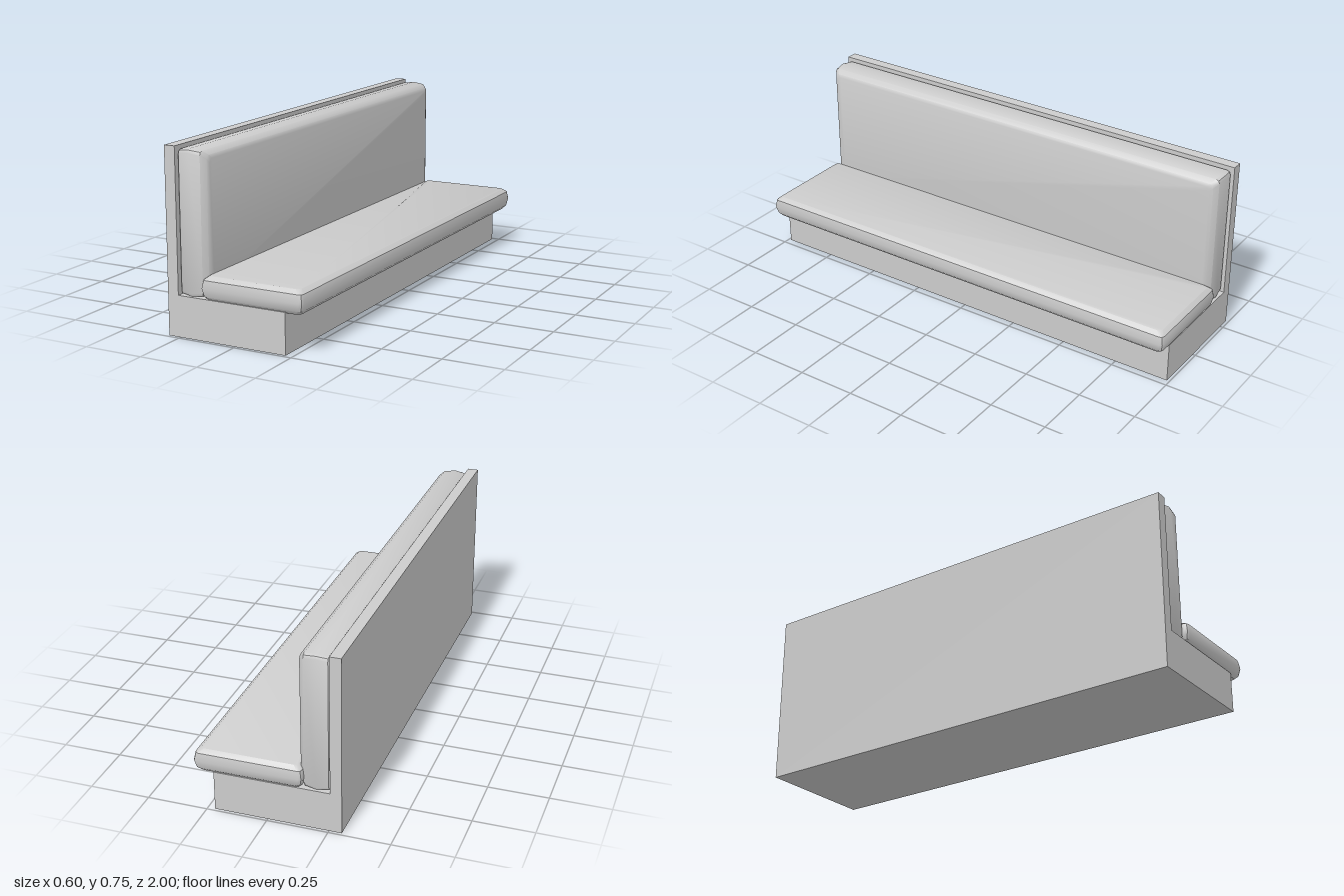
import * as THREE from 'three';
import { toCreasedNormals } from 'three/addons/utils/BufferGeometryUtils.js';

// Padded slab: rounded rectangular loops stacked along y; each layer is [height, inset]
function cushionGeometry(halfX, halfZ, layers, radius = 0.016, steps = 2) {
  const positions = [];
  const index = [];
  const count = 4 * (steps + 1);
  for (const [y, inset] of layers) {
    for (let corner = 0; corner < 4; corner++) {
      const sx = corner === 0 || corner === 3 ? 1 : -1;
      const sz = corner < 2 ? 1 : -1;
      for (let s = 0; s <= steps; s++) {
        const a = (corner + s / steps) * Math.PI / 2;
        positions.push(
          sx * (halfX - inset - radius) + Math.cos(a) * radius,
          y,
          sz * (halfZ - inset - radius) + Math.sin(a) * radius
        );
      }
    }
  }
  // Side walls
  for (let l = 0; l < layers.length - 1; l++) {
    for (let i = 0; i < count; i++) {
      const a = l * count + i;
      const b = l * count + (i + 1) % count;
      index.push(a, a + count, b, b, a + count, b + count);
    }
  }
  // Flat bottom and top
  const top = (layers.length - 1) * count;
  for (let i = 1; i < count - 1; i++) {
    index.push(0, i, i + 1, top, top + i + 1, top + i);
  }
  const geometry = new THREE.BufferGeometry();
  geometry.setAttribute('position', new THREE.Float32BufferAttribute(positions, 3));
  geometry.setIndex(index);
  return toCreasedNormals(geometry, 0.6);
}

export function createModel() {
  const group = new THREE.Group();
  const grey = new THREE.MeshStandardMaterial({ color: 0xcccccc });
  grey.name = 'light grey';

  function add(name, geometry, x = 0, y = 0, z = 0) {
    const mesh = new THREE.Mesh(geometry, grey);
    mesh.name = name;
    mesh.position.set(x, y, z);
    group.add(mesh);
  }

  // Plinth and upright back panel
  add('base', new THREE.BoxGeometry(0.475, 0.168, 1.976), -0.0175, 0.084);
  add('backPanel', new THREE.BoxGeometry(0.047, 0.752, 1.976), -0.2785, 0.376);

  // Seat cushion, overhanging the plinth at the front
  add('seatCushion', cushionGeometry(0.2235, 1, [
    [0.163, 0.022], [0.179, 0.007], [0.212, 0], [0.245, 0.006], [0.26, 0.024],
  ]), 0.0765);

  // Back cushion, the same kind of slab stood on edge
  const back = cushionGeometry(0.29, 0.982, [
    [-0.255, 0.018], [-0.246, 0.006], [-0.2, 0], [-0.15, 0.006], [-0.13, 0.022], [-0.125, 0.036],
  ]);
  back.rotateZ(-Math.PI / 2);
  add('backCushion', back, 0, 0.454);

  return group;
}
